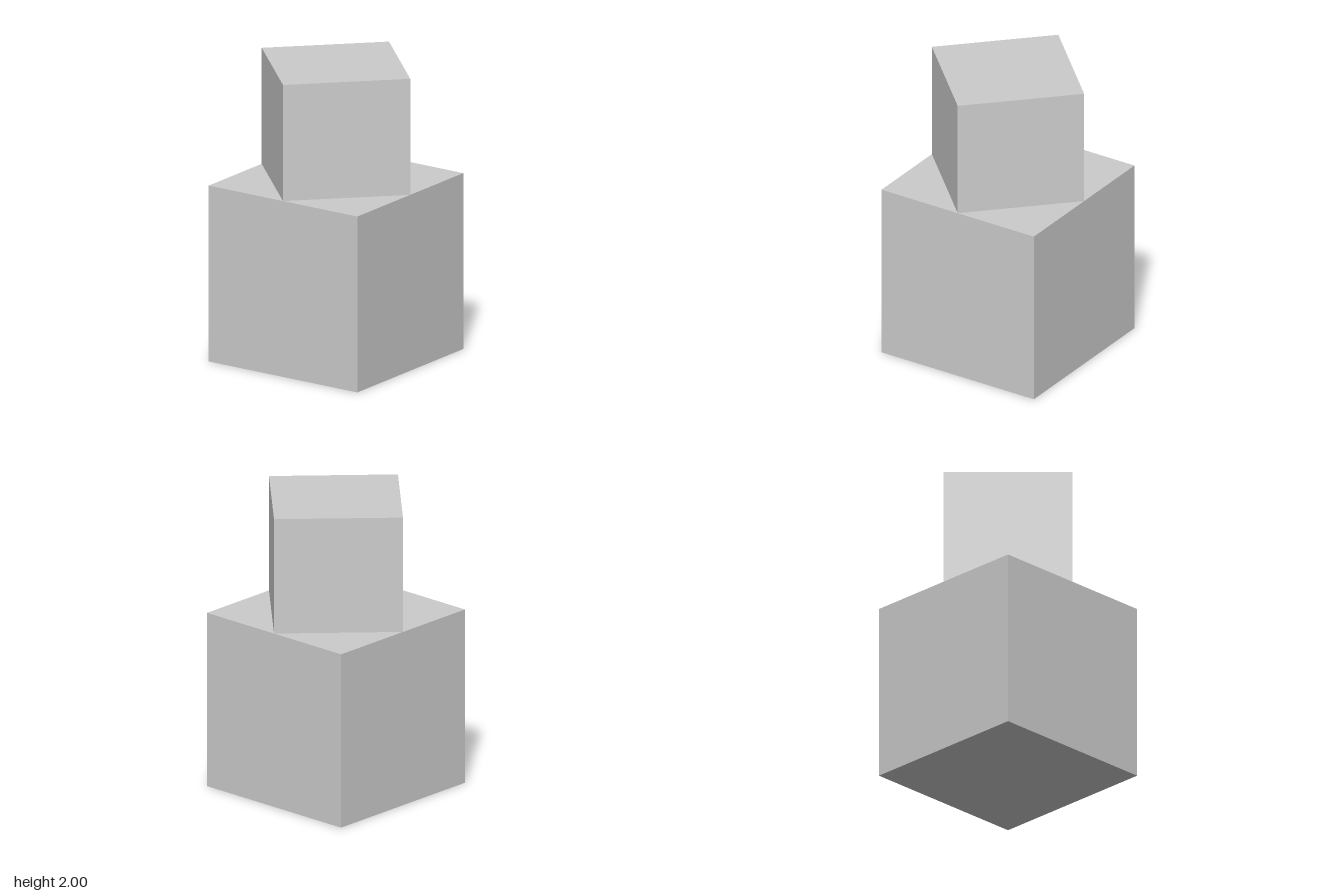
import * as THREE from 'three';

export function createModel() {
  const group = new THREE.Group();
  const material = new THREE.MeshStandardMaterial({ color: 0xcccccc, flatShading: true });

  const baseWidth = 1.196;
  const baseHeight = 1.205;
  const totalHeight = 2;

  // Adds a square block standing at the given height, turned about y
  function addBlock(name, width, height, bottom, turn) {
    const block = new THREE.Mesh(new THREE.BoxGeometry(width, height, width), material);
    block.name = name;
    block.position.y = bottom + height / 2;
    block.rotation.y = turn;
    group.add(block);
  }

  // Large lower block
  addBlock('lowerBlock', baseWidth, baseHeight, 0, 0);

  // Smaller upper block, turned so its corners meet the middles of the lower edges
  addBlock('upperBlock', baseWidth / Math.SQRT2, totalHeight - baseHeight, baseHeight, Math.PI / 4);

  return group;
}
